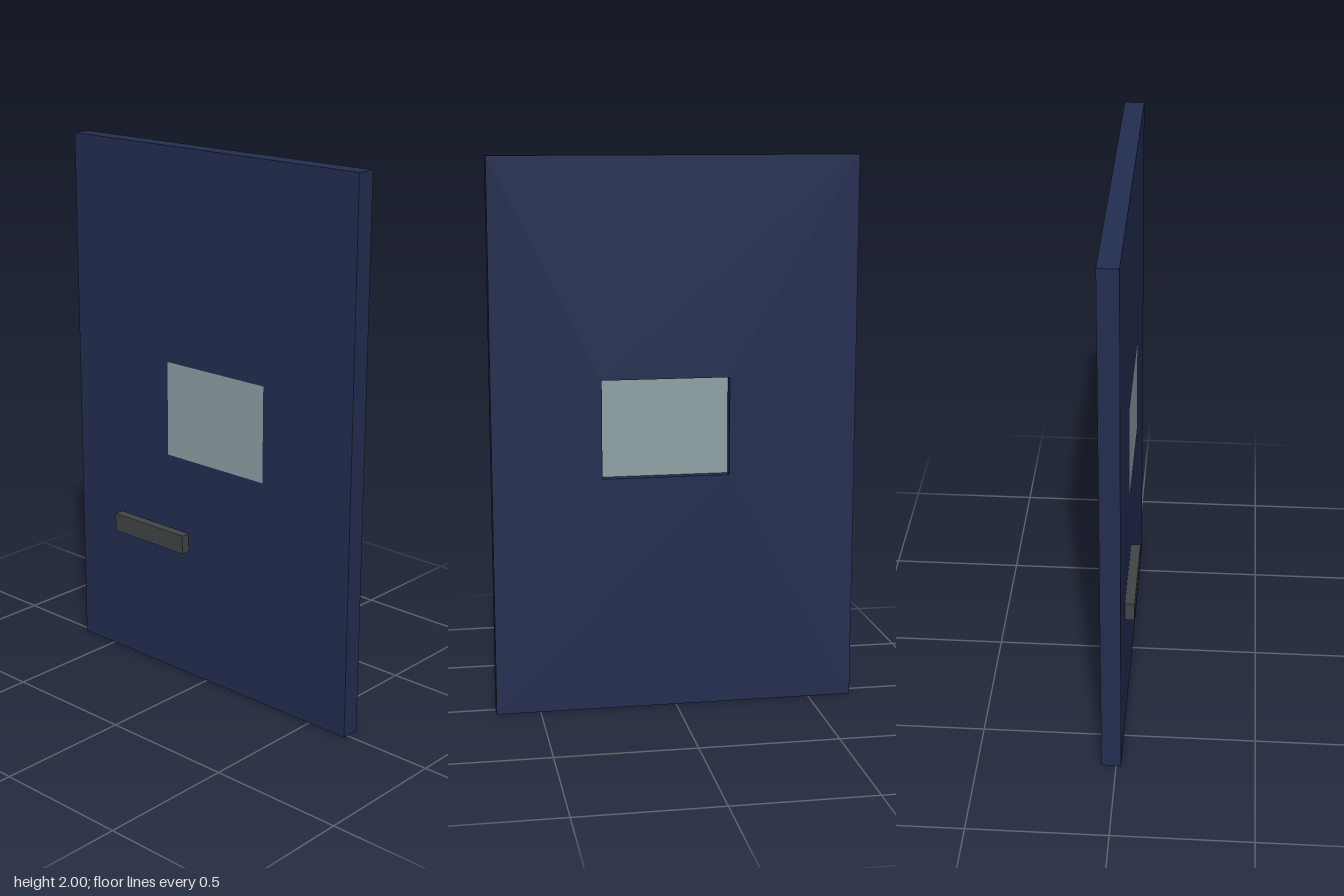
import * as THREE from 'three';

const navy = new THREE.MeshStandardMaterial({ color: 0x232d50 });
navy.name = 'navy paint';
const paleGlass = new THREE.MeshStandardMaterial({ color: 0x90a1a5 });
paleGlass.name = 'pale glass';
const darkMetal = new THREE.MeshStandardMaterial({ color: 0x414546 });
darkMetal.name = 'dark metal';

// Box given by its minimum and maximum corners
function block(name, material, [x0, y0, z0], [x1, y1, z1]) {
  const mesh = new THREE.Mesh(new THREE.BoxGeometry(x1 - x0, y1 - y0, z1 - z0), material);
  mesh.position.set((x0 + x1) / 2, (y0 + y1) / 2, (z0 + z1) / 2);
  mesh.name = name;
  return mesh;
}

// Traces a rectangle on a shape or a path
function rectangle(path, x0, y0, x1, y1) {
  return path.moveTo(x0, y0).lineTo(x1, y0).lineTo(x1, y1).lineTo(x0, y1).closePath();
}

export function createModel() {
  const door = new THREE.Group();
  door.name = 'door';

  const back = -0.018, front = 0.053;
  const win = { z0: -0.195, z1: 0.267, y0: 0.858, y1: 1.214 };

  // Door leaf with a window opening, drawn flat (shape x = -z) and turned to face +x
  const outline = rectangle(new THREE.Shape(), -0.66, 0, 0.66, 2);
  outline.holes.push(rectangle(new THREE.Path(), -win.z1, win.y0, -win.z0, win.y1));
  const leafGeometry = new THREE.ExtrudeGeometry(outline, { depth: front - back, bevelEnabled: false });
  leafGeometry.rotateY(Math.PI / 2).translate(back, 0, 0);
  const leaf = new THREE.Mesh(leafGeometry, navy);
  leaf.name = 'doorLeaf';
  door.add(leaf);

  // Pane flush with the -x face, recessed on the +x face
  door.add(block('windowPane', paleGlass, [back, win.y0, win.z0], [0.017, win.y1, win.z1]));

  // Bar on the -x face
  door.add(block('handleBar', darkMetal, [-0.053, 0.5, -0.445], [back, 0.571, -0.092]));

  return door;
}
